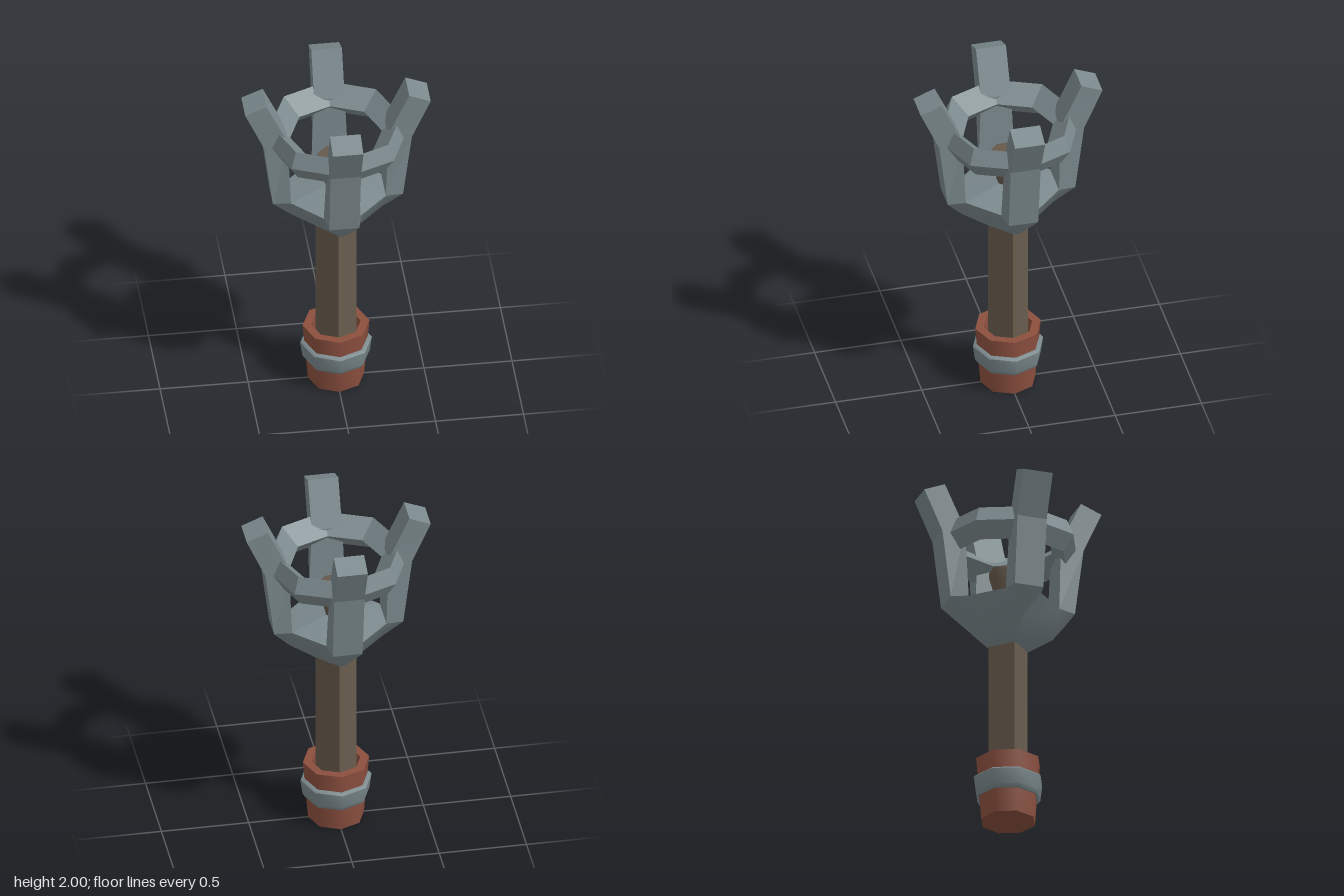
import * as THREE from 'three';
import { toCreasedNormals } from 'three/addons/utils/BufferGeometryUtils.js';

const mat = (name, color) => Object.assign(new THREE.MeshStandardMaterial({ color }), { name });

// Eight-sided turned part from a profile of [radius, height] points
function turned(profile, crease) {
  const pts = profile.map(([r, y]) => new THREE.Vector2(r, y));
  return toCreasedNormals(new THREE.LatheGeometry(pts, 8), crease);
}

// Geometry from convex polygons, each a counter-clockwise list of [x, y, z] corners
function polygons(faces, crease) {
  const pos = [];
  for (const f of faces)
    for (let i = 1; i < f.length - 1; i++) pos.push(...f[0], ...f[i], ...f[i + 1]);
  const g = new THREE.BufferGeometry();
  g.setAttribute('position', new THREE.Float32BufferAttribute(pos, 3));
  g.computeVertexNormals();
  return toCreasedNormals(g, crease);
}

export function createModel() {
  const iron = mat('iron', 0x7b898d);
  const wood = mat('wood', 0x685b4d);
  const leather = mat('leather', 0x8c503f);
  const model = new THREE.Group();
  model.name = 'torch';
  const add = (name, geo, material, parent = model) => {
    const m = new THREE.Mesh(geo, material);
    m.name = name;
    parent.add(m);
    return m;
  };

  // Hollow foot with its metal band
  add('foot', turned([[0, 0], [0.16, 0], [0.19, 0.37], [0.14, 0.37], [0.14, 0.25], [0, 0.25]], 0.9), leather);
  add('footBand', turned([[0.165, 0.14], [0.18, 0.14], [0.192, 0.16], [0.204, 0.25], [0.19, 0.262], [0.165, 0.262]], 0.8), iron);

  // Square pole, corners on the axes
  const pole = add('pole', toCreasedNormals(new THREE.CylinderGeometry(0.117, 0.117, 0.82, 4), 0.1), wood);
  pole.position.y = 0.66;

  // Flared wooden core inside the basket
  const core = add('core', turned([[0.055, 1.33], [0.108, 1.52], [0.106, 1.55], [0, 1.565]], 0.9), wood);
  core.rotation.y = Math.PI / 8;

  // Diamond-section ring joining the prongs
  add('basketRing', turned([[0.35, 1.61], [0.41, 1.705], [0.37, 1.8], [0.26, 1.705], [0.35, 1.61]], 0.1), iron);

  // Prong sections: outer and inner [radius, height, half width]
  const outer = [[0.37, 1.31, 0.085], [0.42, 1.71, 0.087], [0.527, 1.95, 0.087]];
  const inner = [[0.27, 1.32, 0.105], [0.285, 1.74, 0.087], [0.405, 2.0, 0.087]];
  const at = ([r, y, w], side) => [r, y, w * side];
  const prongFaces = [];
  for (let i = 0; i < 2; i++) {
    const [o, p, n, q] = [outer[i], outer[i + 1], inner[i], inner[i + 1]];
    prongFaces.push(
      [at(o, 1), at(o, -1), at(p, -1), at(p, 1)],
      [at(n, -1), at(n, 1), at(q, 1), at(q, -1)],
      [at(n, 1), at(o, 1), at(p, 1), at(q, 1)],
      [at(o, -1), at(n, -1), at(q, -1), at(p, -1)]);
  }
  prongFaces.push([at(outer[2], 1), at(outer[2], -1), at(inner[2], -1), at(inner[2], 1)]);
  const prongGeo = polygons(prongFaces, 0.1);

  // One quarter of the bowl, between the x and z axes
  const swap = ([x, y, z]) => [z, y, x];
  const low = [0.117, 1.07, 0], mid = [0.265, 1.17, 0];
  const A = at(outer[0], 1), C = at(inner[0], 1), apex = [0, 1.38, 0];
  const bowlGeo = polygons([
    [swap(low), low, mid, swap(mid)],
    [swap(mid), mid, C, swap(C)],
    [mid, A, C],
    [swap(mid), swap(C), swap(A)],
  ], 0.6);
  const heelGeo = polygons([[mid, at(outer[0], -1), A]], 0.1);
  const floorGeo = polygons([[apex, swap(C), C], [apex, C, at(inner[0], -1)]], 0.6);

  for (let i = 0; i < 4; i++) {
    const quarter = new THREE.Group();
    quarter.name = 'basketQuarter';
    quarter.rotation.y = i * Math.PI / 2;
    add('prong', prongGeo, iron, quarter);
    add('prongHeel', heelGeo, iron, quarter);
    add('bowlPanel', bowlGeo, iron, quarter);
    add('bowlFloor', floorGeo, iron, quarter);
    model.add(quarter);
  }
  return model;
}
